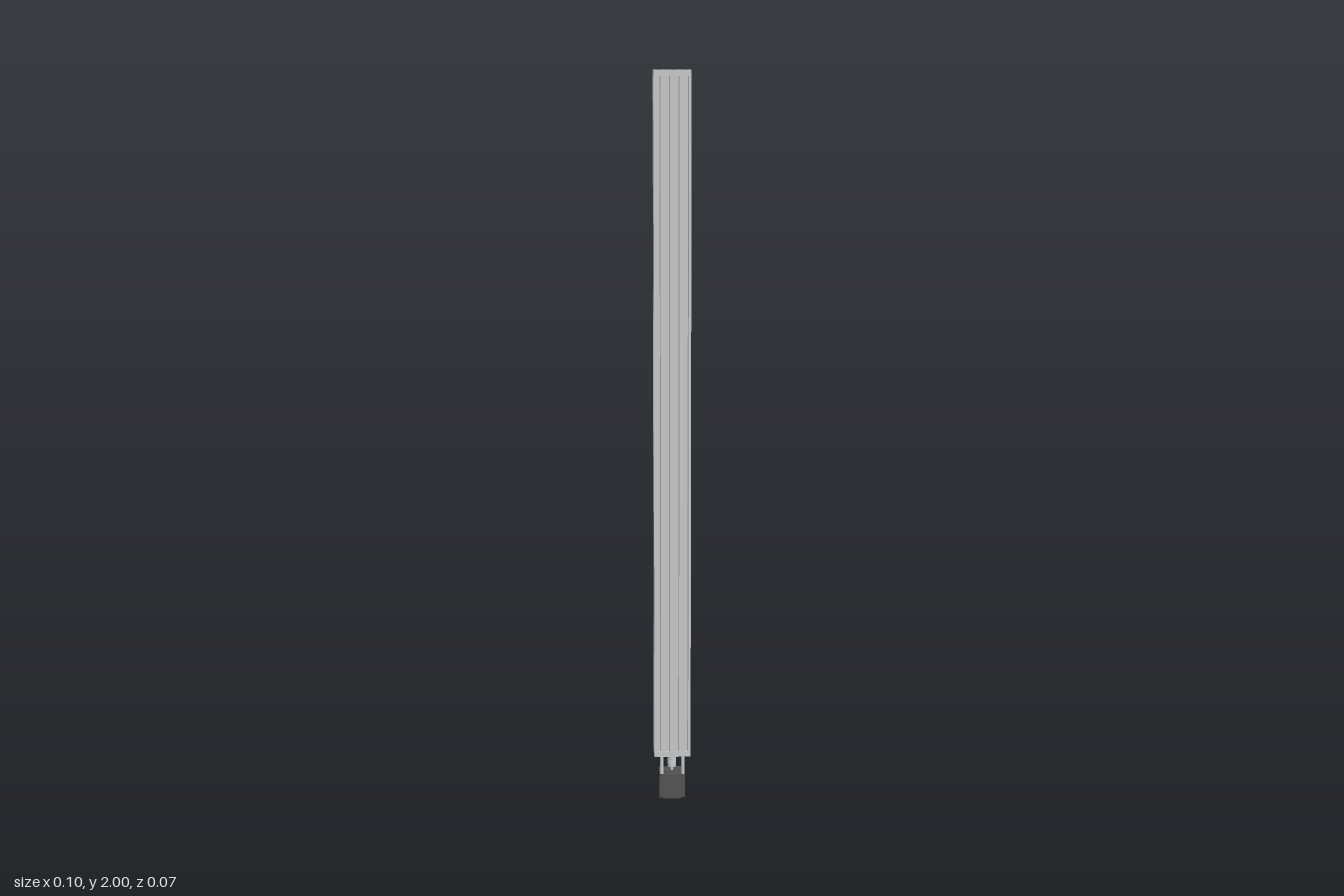
import * as THREE from 'three';

const MM = 1 / 800;
const FRONT = 0.037;     // front face of rail and end plates
const AXIS = -0.002;     // z of screw, coupler and motor
const PLATE = 0.015;
const LOW = 0.122;       // underside of the lower plate
const HOLE = 0.0295;     // motor bolt spacing from its axis

const grey = new THREE.MeshStandardMaterial({ color: 0xcccccc });
const dark = new THREE.MeshStandardMaterial({ color: 0x555555 });

function add(parent, name, geometry, material = grey) {
  const mesh = new THREE.Mesh(geometry, material);
  mesh.name = name;
  parent.add(mesh);
  return mesh;
}

// Extrude a plan shape (x, -z) upwards from y0 to y1
function prism(shape, y0, y1) {
  return new THREE.ExtrudeGeometry(shape, { depth: y1 - y0, bevelEnabled: false, curveSegments: 10 })
    .rotateX(-Math.PI / 2).translate(0, y0, 0);
}

function rod(r, y0, y1, x = 0, z = AXIS, sides = 20) {
  return new THREE.CylinderGeometry(r, r, y1 - y0, sides).translate(x, (y0 + y1) / 2, z);
}

function punch(shape, x, z, r) {
  shape.holes.push(new THREE.Path().absarc(x, -z, r, 0, Math.PI * 2, true));
}

function ring(outer, inner, y0, y1, x = 0, z = AXIS) {
  const s = new THREE.Shape().absarc(x, -z, outer, 0, Math.PI * 2, false);
  punch(s, x, z, inner);
  return prism(s, y0, y1);
}

// C-shaped rail section with a V slot in the middle of every 20 mm of its outline
function railShape() {
  const corners = [[-40, 0], [40, 0], [40, 40], [20, 40], [20, 20], [-20, 20], [-20, 40], [-40, 40]];
  const slot = [[-4.6, 0], [-3.1, 1.8], [-5.5, 1.8], [-5.5, 3.4], [-2.9, 6],
    [2.9, 6], [5.5, 3.4], [5.5, 1.8], [3.1, 1.8], [4.6, 0]];
  const points = [];
  const put = (x, v) => points.push(new THREE.Vector2(x * MM, v * MM - FRONT));
  corners.forEach(([ax, ay], i) => {
    const [bx, by] = corners[(i + 1) % corners.length];
    const length = Math.hypot(bx - ax, by - ay);
    const dx = (bx - ax) / length, dy = (by - ay) / length;
    put(ax, ay);
    for (let d = 10; d < length; d += 20)
      for (const [u, depth] of slot)
        put(ax + dx * (d + u) - dy * depth, ay + dy * (d + u) + dx * depth);
  });
  return new THREE.Shape(points);
}

// End plate with recessed bolts and a bearing; outward is +1 for the top, -1 for the bottom
function endPlate(name, y0, outward) {
  const group = new THREE.Group();
  group.name = name;
  const y1 = y0 + PLATE;
  const s = new THREE.Shape();
  s.moveTo(-0.05, -FRONT).lineTo(0.05, -FRONT).lineTo(0.05, 0.0255).lineTo(-0.05, 0.0255).closePath();
  punch(s, 0, AXIS, 0.0085);
  const bolts = [];
  for (const side of [-1, 1]) {
    bolts.push([side * 0.0375, -0.0005], [side * 0.0125, 0.0245]);
    punch(s, side * HOLE, AXIS + 0.0275, 0.003);
  }
  bolts.forEach(([x, z]) => punch(s, x, z, 0.006));
  add(group, 'plate', prism(s, y0, y1));

  const inset = 0.002;
  const a = outward > 0 ? y0 : y0 + inset;
  const b = outward > 0 ? y1 - inset : y1;
  for (const [x, z] of bolts) {
    add(group, 'boltHead', ring(0.0055, 0.003, a, b, x, z));
    add(group, 'boltSocket', rod(0.0032, a + 0.003, b - 0.003, x, z, 6));
  }
  add(group, 'bearing', ring(0.0082, 0.005, y0 + 0.001, y1 - 0.001));
  // Lock collar on the inner face
  const c = outward > 0 ? y0 - 0.009 : y1;
  add(group, 'lockCollar', ring(0.0085, 0.005, c, c + 0.009), dark);
  return group;
}

function motor() {
  const group = new THREE.Group();
  group.name = 'motor';
  const h = 0.035, r = 0.006;
  // Mounting flange with rounded corners
  const flange = new THREE.Shape();
  flange.absarc(h - r, h - r - AXIS, r, 0, Math.PI / 2);
  flange.absarc(r - h, h - r - AXIS, r, Math.PI / 2, Math.PI);
  flange.absarc(r - h, r - h - AXIS, r, Math.PI, Math.PI * 1.5);
  flange.absarc(h - r, r - h - AXIS, r, Math.PI * 1.5, Math.PI * 2);
  for (const x of [-HOLE, HOLE])
    for (const z of [-HOLE, HOLE]) punch(flange, x, AXIS + z, 0.0033);
  add(group, 'motorFlange', prism(flange, 0.062, 0.07), dark);

  // Body with notched corners
  const n = 0.0245, points = [];
  for (let i = 0; i < 4; i++) {
    const centre = new THREE.Vector2();
    for (const [x, y] of [[h, -n], [h, n], [n, n]])
      points.push(new THREE.Vector2(x, y).rotateAround(centre, i * Math.PI / 2));
  }
  points.forEach(p => { p.y -= AXIS; });
  add(group, 'motorBody', prism(new THREE.Shape(points), 0, 0.062), dark);
  add(group, 'motorPilot', rod(0.0235, 0.07, 0.072, 0, AXIS, 40), dark);
  add(group, 'motorShaft', rod(0.004, 0.07, 0.1));
  return group;
}

// Flexible coupler turned with cut grooves
function coupler() {
  const r = 0.012, g = 0.0095, profile = [[0, 0.083], [r, 0.083]];
  for (let i = 0; i < 3; i++) {
    const y = 0.094 + i * 0.004;
    profile.push([r, y], [g, y], [g, y + 0.0015], [r, y + 0.0015]);
  }
  profile.push([r, 0.115], [0, 0.115]);
  // Repeat corner points so that the edges stay sharp
  const sharp = profile.flatMap(([x, y]) => [new THREE.Vector2(x, y), new THREE.Vector2(x, y)]);
  return new THREE.LatheGeometry(sharp, 24).translate(0, 0, AXIS);
}

export function createModel() {
  const model = new THREE.Group();
  model.name = 'linearActuator';
  add(model, 'rail', prism(railShape(), LOW + PLATE, 2 - PLATE));
  model.add(endPlate('lowerEndPlate', LOW, -1), endPlate('upperEndPlate', 2 - PLATE, 1), motor());
  add(model, 'leadScrew', rod(0.005, 0.1, 1.999));
  add(model, 'coupler', coupler());
  // Spacers between motor and lower plate
  for (const side of [-1, 1])
    add(model, 'spacer', rod(0.005, 0.07, LOW, side * HOLE, AXIS + 0.0275));
  return model;
}
